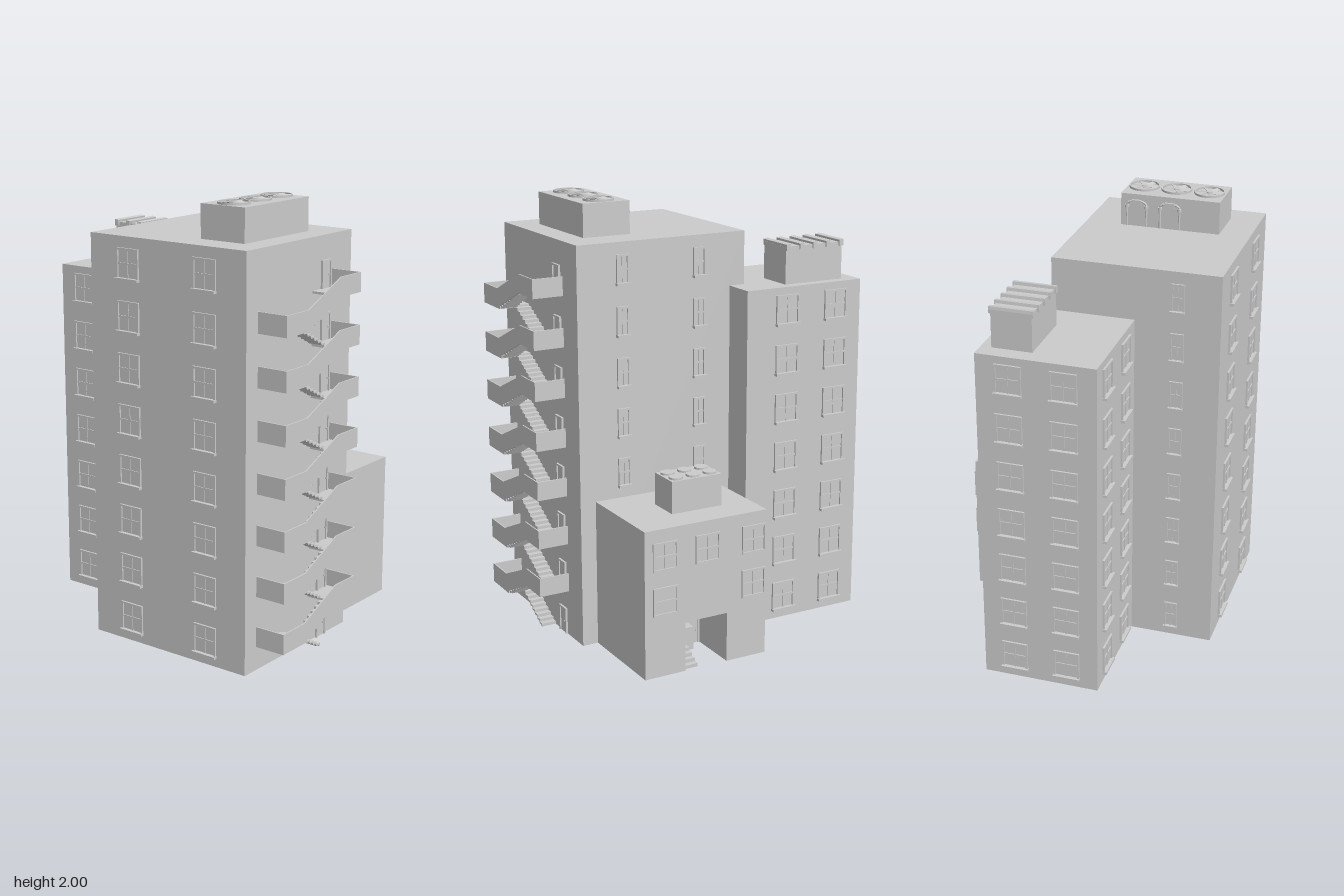
import * as THREE from 'three';

const mat = new THREE.MeshStandardMaterial({ color: 0xcccccc, flatShading: true, side: THREE.DoubleSide });

function add(parent, name, geo) {
  const m = new THREE.Mesh(geo, mat);
  m.name = name;
  parent.add(m);
  return m;
}

// box given by its extents
function box(parent, name, x0, x1, y0, y1, z0, z1) {
  const m = add(parent, name, new THREE.BoxGeometry(x1 - x0, y1 - y0, z1 - z0));
  m.position.set((x0 + x1) / 2, (y0 + y1) / 2, (z0 + z1) / 2);
  return m;
}

function group(parent, name, x = 0, y = 0, z = 0, ry = 0) {
  const g = new THREE.Group();
  g.name = name;
  g.position.set(x, y, z);
  g.rotation.y = ry;
  parent.add(g);
  return g;
}

// sash window: local z points out of the wall, origin at the bottom centre
function sashWindow(parent, name, x, y, z, ry, w, h, sill = true) {
  const g = group(parent, name, x, y, z, ry);
  const b = 0.009, d = 0.009, half = w / 2 - 0.004;
  for (const s of [-1, 1]) box(g, 'jamb', s * half - b / 2, s * half + b / 2, 0, h, -0.005, d);
  box(g, 'head', -half, half, h - b, h, -0.005, d);
  box(g, 'meetingRail', -half, half, h * 0.5 - 0.004, h * 0.5 + 0.004, -0.005, d * 0.7);
  box(g, 'mullion', -0.003, 0.003, 0, h, -0.005, d * 0.6);
  box(g, 'glass', -half, half, 0, h, -0.005, 0.002);
  if (sill) box(g, 'sill', -w / 2 - 0.003, w / 2 + 0.003, -0.006, 0.006, -0.005, 0.02);
  else box(g, 'bottomRail', -half, half, 0, b, -0.005, d);
}

// stepped flight with thin treads and risers, from (x0,y0) up to (x1,y1)
function flight(parent, x0, y0, x1, y1, z0, z1, n = 8) {
  const s = new THREE.Shape(), dx = (x1 - x0) / n, dy = (y1 - y0) / n, t = 0.008;
  s.moveTo(x0, y0);
  for (let i = 0; i < n; i++) {
    s.lineTo(x0 + i * dx, y0 + (i + 1) * dy);
    s.lineTo(x0 + (i + 1) * dx, y0 + (i + 1) * dy);
  }
  for (let i = n; i > 0; i--) {
    s.lineTo(x0 + i * dx, y0 + i * dy - t);
    s.lineTo(x0 + (i - 1) * dx + Math.sign(dx) * t, y0 + i * dy - t);
  }
  s.lineTo(x0 + Math.sign(dx) * t, y0);
  const m = add(parent, 'stairFlight', new THREE.ExtrudeGeometry(s, { depth: z1 - z0, bevelEnabled: false }));
  m.position.z = z0;
}

// one storey of the fire escape
function fireEscape(parent, y) {
  const g = group(parent, 'fireEscape', 0, y, 0);
  flight(g, -0.14, 0, -0.35, 0.11, 0.625, 0.695);
  flight(g, -0.35, 0.11, -0.14, 0.22, 0.695, 0.765);
  box(g, 'lowerLanding', -0.53, -0.35, 0.108, 0.118, 0.625, 0.768);
  box(g, 'upperLanding', -0.14, 0.015, 0.218, 0.228, 0.625, 0.768);
  const p = [[-0.53, 0.108], [-0.35, 0.108], [-0.35, 0.122], [-0.14, 0.218], [0.015, 0.218],
    [0.015, 0.305], [-0.135, 0.305], [-0.375, 0.2], [-0.53, 0.2]];
  const rail = add(g, 'outerParapet', new THREE.ExtrudeGeometry(
    new THREE.Shape(p.map(q => new THREE.Vector2(...q))), { depth: 0.006, bevelEnabled: false }));
  rail.position.z = 0.764;
  box(g, 'lowerEndParapet', -0.53, -0.524, 0.108, 0.2, 0.625, 0.768);
  box(g, 'upperEndParapet', 0.009, 0.015, 0.218, 0.305, 0.625, 0.768);
}

function door(parent, x, y, z, ry) {
  const g = group(parent, 'door', x, y, z, ry);
  box(g, 'leaf', -0.028, 0.028, 0, 0.12, -0.005, 0.004);
  for (const s of [-1, 1]) box(g, 'doorJamb', s * 0.031 - 0.004, s * 0.031 + 0.004, 0, 0.125, -0.005, 0.01);
  box(g, 'doorHead', -0.035, 0.035, 0.117, 0.125, -0.005, 0.01);
  box(g, 'handle', 0.017, 0.022, 0.055, 0.062, 0, 0.01);
}

// rooftop fan with guard ring and blades
function fan(parent, x, y, z) {
  const g = group(parent, 'roofFan', x, y, z);
  const ring = new THREE.LatheGeometry([[0.064, 0], [0.064, 0.01], [0.07, 0.01], [0.07, 0]]
    .map(q => new THREE.Vector2(...q)), 32);
  add(g, 'fanRing', ring);
  add(g, 'fanHub', new THREE.CylinderGeometry(0.014, 0.014, 0.01, 16)).position.y = 0.004;
  for (let i = 0; i < 6; i++) {
    const arm = group(g, 'bladeArm', 0, 0.004, 0, i * Math.PI / 3);
    const blade = box(arm, 'fanBlade', 0.01, 0.062, -0.001, 0.001, -0.011, 0.011);
    blade.rotation.x = 0.3;
  }
}

export function createModel() {
  const root = new THREE.Group();
  root.name = 'apartmentBuilding';
  const R = Math.PI / 2, pitch = 0.23;

  // building masses
  box(root, 'mainTower', -0.61, 0.155, 0, 1.84, -0.215, 0.625);
  box(root, 'rearTower', -0.225, 0.31, 0, 1.595, -0.75, -0.14);

  // entrance wing with a recessed porch
  box(root, 'wingRear', 0.155, 0.365, 0, 0.68, -0.06, 0.55);
  const prof = [[-0.55, 0], [-0.35, 0], [-0.35, 0.23], [-0.14, 0.23], [-0.14, 0], [0.06, 0], [0.06, 0.68], [-0.55, 0.68]];
  const wing = add(root, 'wingFront', new THREE.ExtrudeGeometry(
    new THREE.Shape(prof.map(q => new THREE.Vector2(...q))), { depth: 0.25, bevelEnabled: false }));
  wing.rotation.y = R;
  wing.position.x = 0.365;
  flight(root, 0.6, 0, 0.43, 0.11, 0.28, 0.35, 7);
  box(root, 'porchLanding', 0.365, 0.43, 0.1, 0.11, 0.205, 0.35);
  box(root, 'porchWall', 0.365, 0.43, 0, 0.1, 0.205, 0.28);
  door(root, 0.365, 0, 0.175, R);

  // rear tower windows, seven storeys on three sides
  for (let i = 0; i < 7; i++) {
    const y = 0.045 + i * pitch;
    for (const z of [-0.352, -0.613]) {
      sashWindow(root, 'rearTowerWindow', 0.31, y, z, R, 0.12, 0.135);
      sashWindow(root, 'rearTowerWindow', -0.225, y, z, -R, 0.12, 0.135);
    }
    for (const x of [-0.08, 0.165]) sashWindow(root, 'rearTowerWindow', x, y, -0.75, 2 * R, 0.12, 0.135);
  }

  // main tower windows, eight storeys
  for (let i = 0; i < 8; i++) {
    const y = 0.045 + i * pitch;
    for (const z of [-0.005, 0.41]) {
      sashWindow(root, 'mainTowerWindow', -0.61, y, z, -R, 0.12, 0.135);
    }
    sashWindow(root, 'narrowWindow', -0.417, y, -0.215, 2 * R, 0.06, 0.13);
    if (i > 2) for (const z of [0.02, 0.405]) sashWindow(root, 'narrowWindow', 0.155, y, z, R, 0.06, 0.13);
    door(root, -0.042, i ? i * pitch - 0.003 : 0, 0.625, 0);
  }
  for (let i = 0; i < 7; i++) fireEscape(root, i * pitch);

  // wing windows
  for (const [y, z] of [[0.49, 0.45], [0.49, 0.24], [0.49, 0.005], [0.285, 0.45], [0.285, 0.005]]) {
    sashWindow(root, 'wingWindow', 0.613, y, z, R, 0.12, 0.13, false);
  }

  // main roof unit with fans and rear pipes
  box(root, 'mainRoofUnit', -0.47, -0.01, 1.84, 1.99, 0.28, 0.51);
  for (const x of [-0.393, -0.24, -0.088]) fan(root, x, 1.99, 0.395);
  for (const x of [-0.24, -0.085]) {
    const pipes = group(root, 'roofPipes', x, 0, 0.274);
    box(pipes, 'valveBox', -0.022, 0.022, 1.94, 1.965, -0.006, 0.01);
    for (const s of [-1, 1]) {
      const path = new THREE.CatmullRomCurve3([[0, 1.955], [0.03, 1.957], [0.045, 1.945], [0.045, 1.9], [0.045, 1.842]]
        .map(q => new THREE.Vector3(s * q[0], q[1], 0)));
      add(pipes, 'pipe', new THREE.TubeGeometry(path, 16, 0.005, 8));
      const collar = add(pipes, 'pipeCollar', new THREE.CylinderGeometry(0.01, 0.01, 0.012, 12));
      collar.position.set(s * 0.045, 1.935, 0);
    }
  }

  // rear roof unit with overhanging slats
  box(root, 'rearRoofUnit', 0.08, 0.262, 1.595, 1.768, -0.675, -0.37);
  for (let i = 0; i < 5; i++) {
    const z = -0.667 + i * 0.0715;
    const slat = box(root, 'roofSlat', 0.073, 0.27, 1.766, 1.78, z - 0.011, z + 0.011);
    slat.rotation.x = 0.15;
    for (const x of [0.076, 0.266]) box(root, 'slatEnd', x - 0.004, x + 0.004, 1.75, 1.778, z - 0.011, z + 0.011);
  }

  // wing roof unit with six round vents
  box(root, 'wingRoofUnit', 0.315, 0.47, 0.68, 0.828, 0.085, 0.335);
  for (const x of [0.355, 0.431]) for (const z of [0.125, 0.21, 0.295]) {
    add(root, 'roundVent', new THREE.CylinderGeometry(0.031, 0.031, 0.012, 24)).position.set(x, 0.831, z);
  }
  return root;
}
